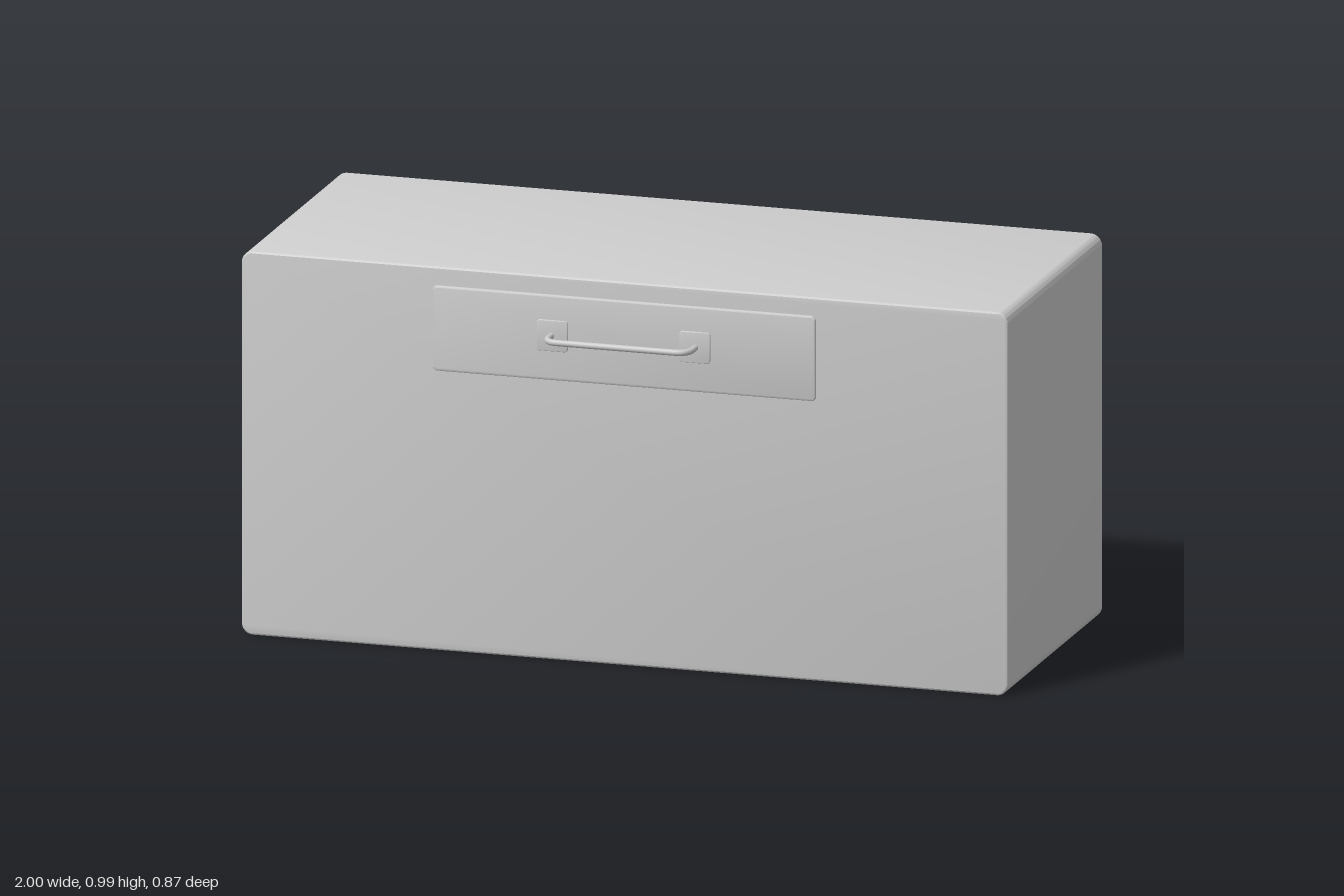
import * as THREE from 'three';
import { toCreasedNormals } from 'three/addons/utils/BufferGeometryUtils.js';

const material = new THREE.MeshStandardMaterial({ color: 0xcccccc });

function roundedRect(w, h, r) {
  const s = new THREE.Shape(), x = w / 2, y = h / 2;
  s.moveTo(-x + r, -y);
  s.lineTo(x - r, -y);
  s.absarc(x - r, -y + r, r, -Math.PI / 2, 0);
  s.lineTo(x, y - r);
  s.absarc(x - r, y - r, r, 0, Math.PI / 2);
  s.lineTo(-x + r, y);
  s.absarc(-x + r, y - r, r, Math.PI / 2, Math.PI);
  s.lineTo(-x, -y + r);
  s.absarc(-x + r, -y + r, r, Math.PI, Math.PI * 1.5);
  return s;
}

// Slab from z0 to z1 with rounded outline and a softened front edge
function slab(name, w, h, r, z0, z1, bevel) {
  let geo = new THREE.ExtrudeGeometry(roundedRect(w - 2 * bevel, h - 2 * bevel, r - bevel), {
    depth: z1 - z0 - bevel, bevelEnabled: true, bevelThickness: bevel,
    bevelSize: bevel, bevelSegments: 3, curveSegments: 8,
  });
  // Flatten the rear bevel into a square back edge
  const p = geo.attributes.position;
  for (let i = 0; i < p.count; i++) {
    if (p.getZ(i) > 1e-6) continue;
    const x = p.getX(i), y = p.getY(i);
    p.setXYZ(i, x, y, 0);
  }
  geo = toCreasedNormals(geo, 0.6);
  geo.translate(0, 0, z0);
  const mesh = new THREE.Mesh(geo, material);
  mesh.name = name;
  return mesh;
}

export function createModel() {
  const model = new THREE.Group();
  model.name = 'drawerUnit';

  // Main cabinet block
  const body = slab('body', 2, 0.99, 0.03, -0.434, 0.355, 0.005);
  body.position.y = 0.495;
  model.add(body);

  // Raised panel behind the handle
  const panel = slab('frontPanel', 1, 0.22, 0.012, 0.35, 0.361, 0.005);
  panel.position.y = 0.832;
  model.add(panel);

  const handle = new THREE.Group();
  handle.name = 'handle';
  handle.position.y = 0.838;
  model.add(handle);

  // Mounting plates
  for (const side of [-1, 1]) {
    const plate = slab(side > 0 ? 'leftHandlePlate' : 'rightHandlePlate', 0.08, 0.08, 0.008, 0.356, 0.366, 0.002);
    plate.position.x = side * 0.186;
    handle.add(plate);
  }

  // Bent bar with rounded corners
  const v = (x, z) => new THREE.Vector3(x, 0, z);
  const path = new THREE.CurvePath();
  path.add(new THREE.LineCurve3(v(-0.188, 0.36), v(-0.188, 0.39)));
  path.add(new THREE.QuadraticBezierCurve3(v(-0.188, 0.39), v(-0.186, 0.426), v(-0.152, 0.426)));
  path.add(new THREE.LineCurve3(v(-0.152, 0.426), v(0.152, 0.426)));
  path.add(new THREE.QuadraticBezierCurve3(v(0.152, 0.426), v(0.186, 0.426), v(0.188, 0.39)));
  path.add(new THREE.LineCurve3(v(0.188, 0.39), v(0.188, 0.36)));
  const bar = new THREE.Mesh(new THREE.TubeGeometry(path, 90, 0.008, 14), material);
  bar.name = 'handleBar';
  handle.add(bar);

  return model;
}
